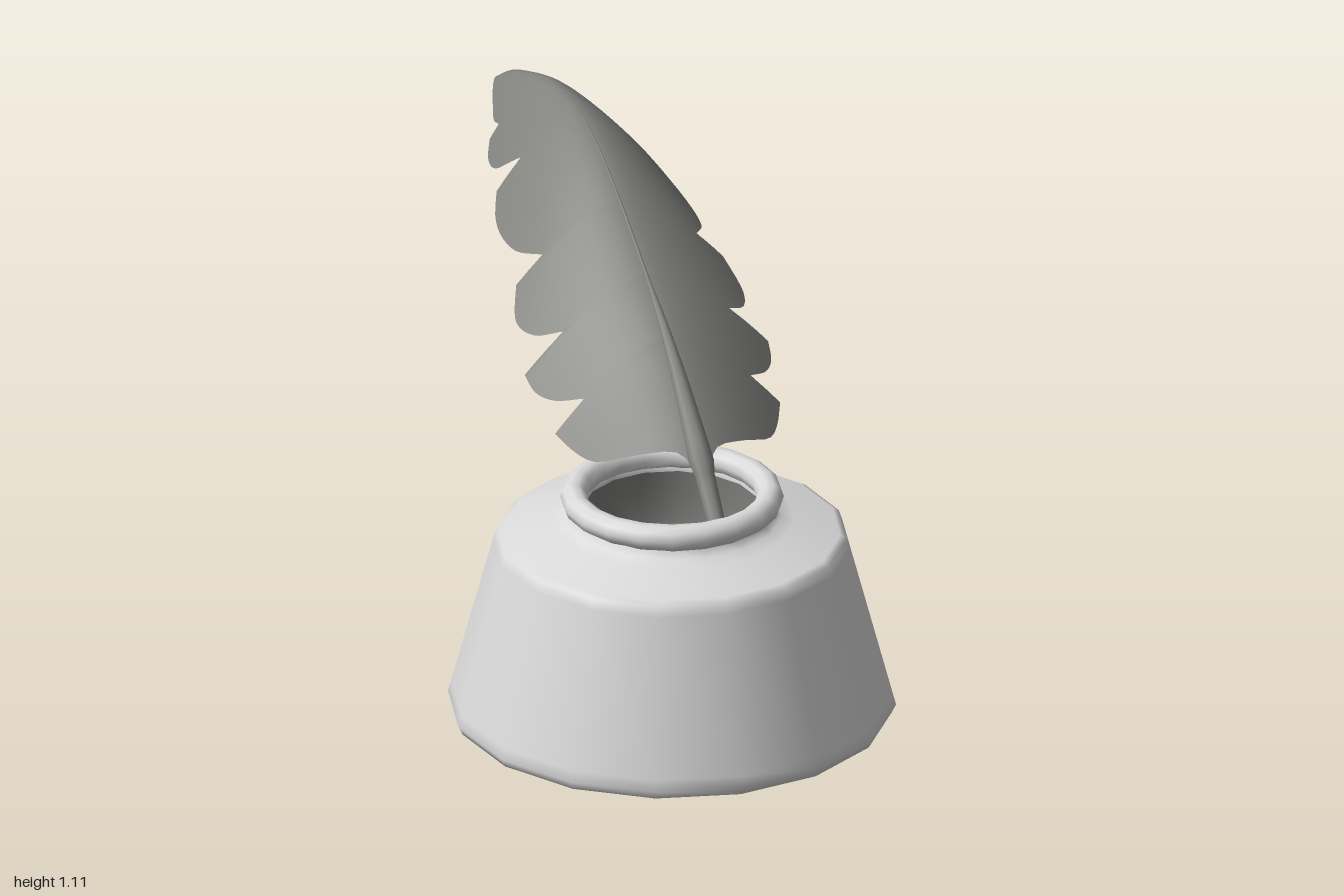
import * as THREE from 'three';

const potMat = new THREE.MeshStandardMaterial({ color: 0xdadada });
potMat.name = 'pale grey';
const featherMat = new THREE.MeshStandardMaterial({ color: 0x82827f, side: THREE.DoubleSide });
featherMat.name = 'dark grey';

const V = (x, y) => new THREE.Vector2(x, y);

function add(parent, name, geometry, material) {
  const mesh = new THREE.Mesh(geometry, material);
  mesh.name = name;
  parent.add(mesh);
  return mesh;
}

// Quill centre line as [z, y], from the nib to the feather tip
const spine = [[0.67, 0.39], [0.58, 0.485], [0.5, 0.57], [0.4, 0.67], [0.25, 0.8], [0.1, 0.9],
  [-0.1, 1.01], [-0.25, 1.072], [-0.4, 1.105], [-0.6, 1.09], [-0.8, 1.025], [-0.9, 0.98], [-1, 0.92]];
const spineX = z => 0.068 + 0.02 * Math.max(0, z);
const spineCurve = new THREE.CatmullRomCurve3(spine.map(([z, y]) => new THREE.Vector3(spineX(z), y, z)));
const spinePoints = spineCurve.getPoints(240);

// Linear lookup of b at a in pairs sorted by falling a
function lookup(pairs, a) {
  for (let i = 1; i < pairs.length; i++) {
    const [a0, b0] = pairs[i - 1], [a1, b1] = pairs[i];
    if (a >= a1) return b0 + (b1 - b0) * Math.max(0, (a0 - a) / (a0 - a1));
  }
  return pairs[pairs.length - 1][1];
}
const spinePairs = spinePoints.map(p => [p.z, p.y]);
// How strongly the vane droops to each side along z
const droop = [[0.5, 1.9], [0.35, 1.8], [0.23, 1.63], [0.09, 1.5], [-0.1, 1.65], [-0.4, 2.4], [-0.68, 3.7], [-1, 5.5]];

// Outline of the vane: one list of [z, half width] for each lobe
const lobes = [
  [[0.48, 0.02], [0.44, 0.045], [0.4, 0.12], [0.35, 0.2], [0.3, 0.24], [0.235, 0.27]],
  [[0.234, 0.2], [0.19, 0.25], [0.14, 0.282], [0.09, 0.292]],
  [[0.089, 0.2], [0.04, 0.25], [-0.03, 0.272], [-0.1, 0.248]],
  [[-0.101, 0.185], [-0.17, 0.22], [-0.25, 0.23], [-0.33, 0.222], [-0.4, 0.196]],
  [[-0.401, 0.138], [-0.48, 0.168], [-0.57, 0.16], [-0.645, 0.132]],
  [[-0.646, 0.11], [-0.7, 0.104], [-0.78, 0.08], [-0.88, 0.047], [-1, 0.001]],
];

function vaneGeometry() {
  const rows = lobes.flatMap(l => new THREE.SplineCurve(l.map(p => V(...p))).getPoints(14));
  const across = 20, pos = [], index = [];
  rows.forEach(({ x: z, y: half }, r) => {
    for (let i = 0; i <= across; i++) {
      const w = half * (i / across * 2 - 1);
      const y = lookup(spinePairs, z) - lookup(droop, z) * Math.abs(w) ** 1.6;
      pos.push(spineX(z) + w, y, z);
      if (r && i) {
        const d = r * (across + 1) + i, c = d - 1, b = d - across - 1, a = b - 1;
        index.push(a, b, c, b, d, c);
      }
    }
  });
  const g = new THREE.BufferGeometry();
  g.setAttribute('position', new THREE.Float32BufferAttribute(pos, 3));
  g.setIndex(index);
  g.computeVertexNormals();
  return g;
}

// Round shaft, thick at the base and thinning to the tip
function shaftGeometry() {
  const steps = 60, sides = 8;
  const g = new THREE.TubeGeometry(spineCurve, steps, 1, sides);
  const p = g.attributes.position, v = new THREE.Vector3();
  for (let i = 0; i < p.count; i++) {
    const t = Math.floor(i / (sides + 1)) / steps;
    const centre = spineCurve.getPointAt(t);
    const radius = t < 0.15 ? 0.018 + t * 0.04 : Math.max(0.001, 0.024 * Math.max(0, 1 - (t - 0.15) / 0.25) + 0.007 * (1 - t));
    v.fromBufferAttribute(p, i).sub(centre).multiplyScalar(radius).add(centre);
    p.setXYZ(i, v.x, v.y, v.z);
  }
  g.computeVertexNormals();
  return g;
}

export function createModel() {
  const model = new THREE.Group();
  model.name = 'inkwellWithQuill';

  // Sixteen-sided pot
  const pot = new THREE.Group();
  pot.name = 'inkPot';
  pot.position.z = 0.488;
  model.add(pot);
  const body = [V(0, 0), V(0.3, 0), V(0.485, 0.003), V(0.502, 0.01), V(0.512, 0.03), V(0.505, 0.056),
    V(0.408, 0.42), V(0.4, 0.443), V(0.385, 0.452), V(0.28, 0.482), V(0.25, 0.493), V(0.236, 0.508),
    V(0.232, 0.53), V(0.205, 0.535), V(0.203, 0.505)];
  add(pot, 'potBody', new THREE.LatheGeometry(body, 16), potMat);

  // Rounded lip around the mouth
  const lip = add(pot, 'potLip', new THREE.TorusGeometry(0.224, 0.031, 10, 20), potMat);
  lip.rotation.x = Math.PI / 2;
  lip.position.y = 0.536;

  // Dark well inside the mouth
  const well = [V(0.204, 0.51), V(0.21, 0.45), V(0.21, 0.375), V(0.2, 0.37), V(0, 0.37)];
  add(pot, 'inkWell', new THREE.LatheGeometry(well, 16), featherMat);

  // Feather quill resting in the mouth
  const quill = new THREE.Group();
  quill.name = 'quill';
  model.add(quill);
  add(quill, 'featherVane', vaneGeometry(), featherMat);
  add(quill, 'quillShaft', shaftGeometry(), featherMat);

  return model;
}
